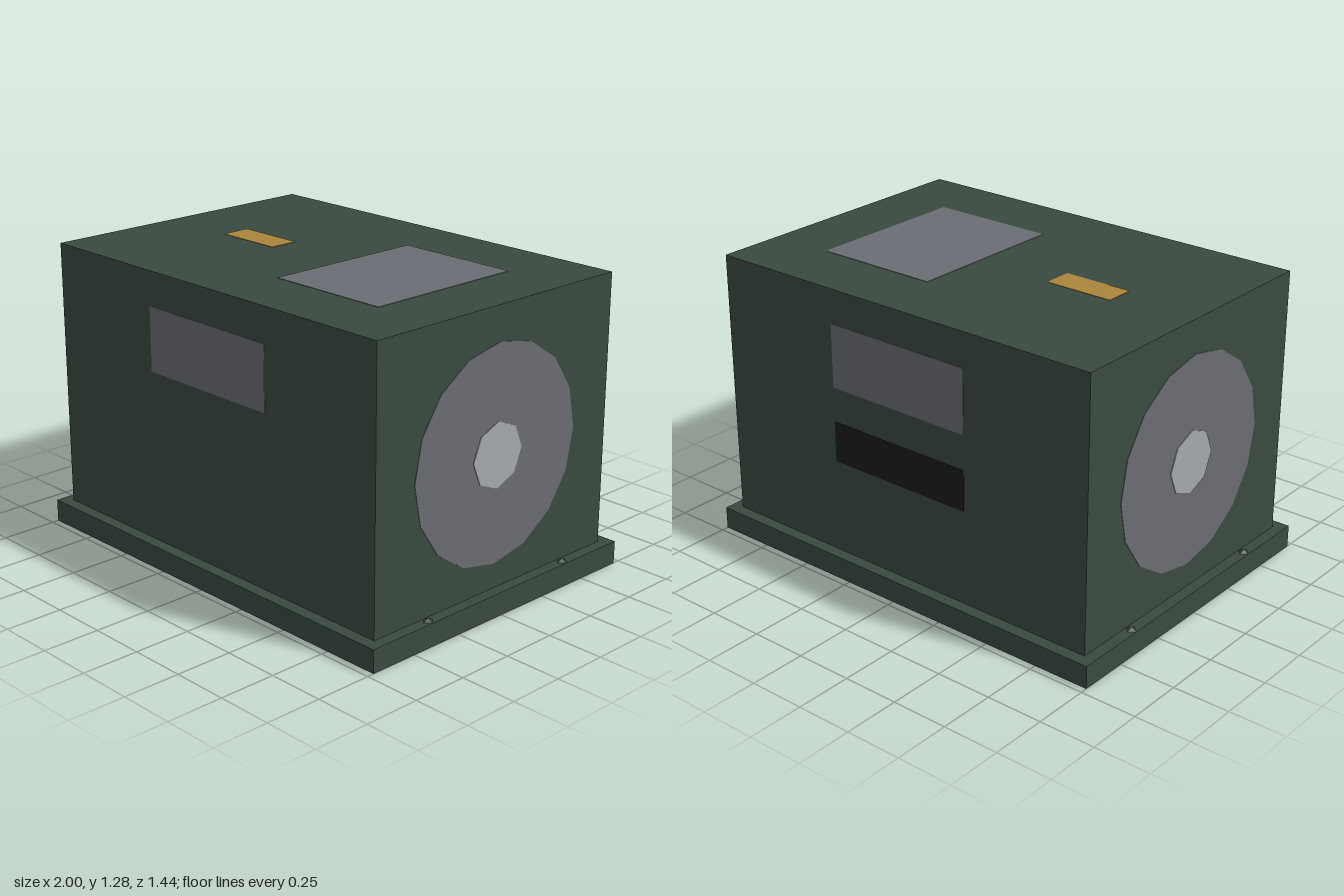
import * as THREE from 'three';

const paint = (name, color, side = THREE.FrontSide) => {
  const m = new THREE.MeshStandardMaterial({ color, side });
  m.name = name;
  return m;
};

// Box standing on y = 0 with its underside left open
function openBox(w, h, d) {
  const g = new THREE.BoxGeometry(w, h, d).translate(0, h / 2, 0);
  const idx = Array.from(g.index.array);
  idx.splice(18, 6); // drop the bottom face
  g.setIndex(idx);
  g.clearGroups();
  return g;
}

export function createModel() {
  const green = paint('dark green', 0x3a4a40, THREE.DoubleSide);
  const grey = paint('panel grey', 0x6a6d73);
  const silver = paint('hub silver', 0xa5a9ac);
  const amber = paint('amber', 0xaa863a);
  const black = paint('vent black', 0x1e1c1c);

  const model = new THREE.Group();
  model.name = 'equipmentCase';
  const add = (name, geometry, material, x = 0, y = 0, z = 0) => {
    const mesh = new THREE.Mesh(geometry, material);
    mesh.name = name;
    mesh.position.set(x, y, z);
    model.add(mesh);
    return mesh;
  };

  const T = 0.004; // plate thickness
  const bodyX = 0.95, bodyZ = 0.667, baseY = 0.1, topY = 1.28;

  // Hollow base tray and main housing
  add('base', openBox(2, baseY, 1.44), green);
  add('housing', openBox(bodyX * 2, topY - baseY, bodyZ * 2), green, 0, baseY);

  // Top plates
  add('topPanel', new THREE.BoxGeometry(0.565, T, 0.74), grey, 0.378, topY, 0);
  add('topLabel', new THREE.BoxGeometry(0.31, T, 0.13), amber, -0.43, topY, 0);

  // Front and back plates
  add('frontPanel', new THREE.BoxGeometry(0.695, 0.28, T), grey, 0, 0.99, bodyZ);
  add('backPanel', new THREE.BoxGeometry(0.695, 0.28, T), grey, 0, 0.99, -bodyZ);
  add('backVent', new THREE.BoxGeometry(0.695, 0.18, T), black, 0, 0.607, -bodyZ);

  // Side discs with hubs, and base bolts
  const disc = new THREE.CylinderGeometry(0.462, 0.462, T, 16).toNonIndexed().rotateZ(Math.PI / 2);
  const hub = new THREE.CylinderGeometry(0.14, 0.14, T, 8).toNonIndexed().rotateZ(Math.PI / 2);
  const bolt = new THREE.ConeGeometry(0.025, 0.015, 4, 1, true).toNonIndexed();
  bolt.computeVertexNormals();
  for (const s of [1, -1]) {
    const side = s > 0 ? 'left' : 'right';
    add(side + 'Disc', disc, grey, s * bodyX, 0.67, 0);
    add(side + 'Hub', hub, silver, s * (bodyX + 0.003), 0.67, 0);
    for (const z of [0.4, -0.4]) {
      add(side + (z > 0 ? 'Front' : 'Back') + 'Bolt', bolt, green, s * 0.975, baseY + 0.0075, z);
    }
  }
  return model;
}
